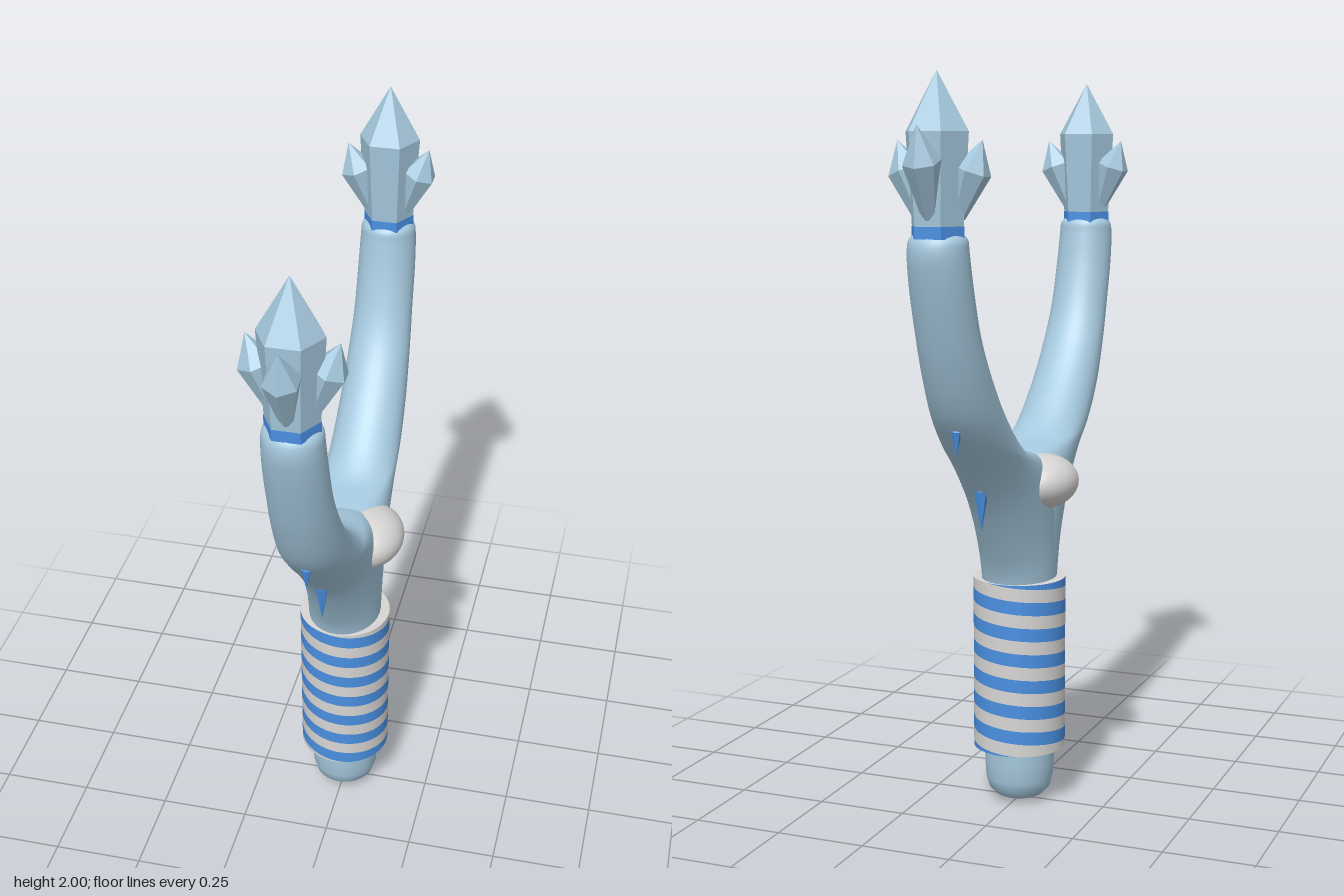
import * as THREE from 'three';

const mat = (name, color, extra = {}) => {
  const m = new THREE.MeshStandardMaterial({ color, ...extra });
  m.name = name;
  return m;
};

export function createModel() {
  const model = new THREE.Group();
  const ice = mat('ice blue', 0xa5c8dd);
  const crystalIce = mat('faceted ice blue', 0xa5c8dd, { flatShading: true });
  const blue = mat('ribbon blue', 0x4a90e2);
  const spikeBlue = mat('faceted blue', 0x4a90e2, { flatShading: true });
  const grey = mat('pale grey', 0xd8d6d4);

  const add = (parent, name, geo, material, x = 0, y = 0, z = 0) => {
    const mesh = new THREE.Mesh(geo, material);
    mesh.name = name;
    mesh.position.set(x, y, z);
    parent.add(mesh);
    return mesh;
  };
  const lathe = (pts, sides) =>
    new THREE.LatheGeometry(pts.map(p => new THREE.Vector2(...p)), sides);

  // Handle with a rounded butt
  add(model, 'handle', lathe([[0, 0], [0.035, 0.003], [0.065, 0.015], [0.085, 0.035],
    [0.094, 0.065], [0.097, 0.11], [0.098, 0.16], [0.1, 0.62]], 40), ice);

  // Grip sleeve: helical bands clipped to the two ends
  const R = 0.128, Y0 = 0.157, Y1 = 0.643, PITCH = 0.0735, SEG = 64;
  const bands = (firstY) => {
    const pos = [], nor = [], idx = [];
    for (let k = -2; k < 10; k++) for (let s = 0; s < SEG; s++) {
      const corner = (step, side) => {
        const a = (s + step) / SEG * Math.PI * 2;
        const y = firstY - PITCH * (k + a / (Math.PI * 2) + side / 4);
        return [a, THREE.MathUtils.clamp(y, Y0, Y1)];
      };
      const quad = [corner(0, 1), corner(1, 1), corner(1, -1), corner(0, -1)];
      if (quad[0][1] === quad[3][1] && quad[1][1] === quad[2][1]) continue;
      const n = pos.length / 3;
      for (const [a, y] of quad) {
        pos.push(R * Math.sin(a), y, R * Math.cos(a));
        nor.push(Math.sin(a), 0, Math.cos(a));
      }
      idx.push(n, n + 1, n + 2, n, n + 2, n + 3);
    }
    const g = new THREE.BufferGeometry();
    g.setAttribute('position', new THREE.Float32BufferAttribute(pos, 3));
    g.setAttribute('normal', new THREE.Float32BufferAttribute(nor, 3));
    g.setIndex(idx);
    return g;
  };
  const sleeve = new THREE.Group();
  sleeve.name = 'gripSleeve';
  model.add(sleeve);
  add(sleeve, 'blueWrap', bands(0.62), blue);
  add(sleeve, 'greyWrap', bands(0.62 - PITCH / 2), grey);
  const ring = new THREE.RingGeometry(0.085, R, SEG);
  add(sleeve, 'sleeveTop', ring, grey, 0, Y1, 0).rotation.x = -Math.PI / 2;
  add(sleeve, 'sleeveBottom', ring, blue, 0, Y0, 0).rotation.x = Math.PI / 2;

  // Fork arm sections: half width, outer z, outer y, inner z, inner y
  const sections = [
    [0.1, 0.11, 0.58, -0.11, 0.58], [0.102, 0.127, 0.66, -0.12, 0.7],
    [0.103, 0.165, 0.74, -0.13, 0.82], [0.103, 0.243, 0.87, -0.1, 0.95],
    [0.1, 0.33, 0.98, 0, 0.995], [0.098, 0.4, 1.06, 0.11, 1.02],
    [0.093, 0.47, 1.15, 0.243, 1.13], [0.087, 0.53, 1.28, 0.335, 1.235],
    [0.082, 0.568, 1.39, 0.4, 1.34], [0.08, 0.6, 1.5, 0.445, 1.47],
    [0.077, 0.611, 1.56, 0.466, 1.57], [0.073, 0.605, 1.595, 0.472, 1.6],
    [0.05, 0.58, 1.615, 0.495, 1.615], [0.001, 0.541, 1.615, 0.539, 1.615],
  ];
  const outer = new THREE.CatmullRomCurve3(sections.map(s => new THREE.Vector3(s[0], s[2], s[1])));
  const inner = new THREE.CatmullRomCurve3(sections.map(s => new THREE.Vector3(s[0], s[4], s[3])));
  const armGeometry = () => {
    const rows = (sections.length - 1) * 4, cols = 32, pos = [], idx = [];
    for (let i = 0; i <= rows; i++) {
      const o = outer.getPoint(i / rows), n = inner.getPoint(i / rows);
      for (let j = 0; j < cols; j++) {
        const t = j / cols * Math.PI * 2, c = (1 + Math.cos(t)) / 2;
        pos.push(o.x * Math.sin(t), n.y + (o.y - n.y) * c, n.z + (o.z - n.z) * c);
        if (i === rows) continue;
        const a = i * cols + j, b = i * cols + (j + 1) % cols;
        idx.push(a, b, b + cols, a, b + cols, a + cols);
      }
    }
    const g = new THREE.BufferGeometry();
    g.setAttribute('position', new THREE.Float32BufferAttribute(pos, 3));
    g.setIndex(idx);
    g.computeVertexNormals();
    return g;
  };
  const armGeo = armGeometry();

  // Crystal shapes
  const mainCrystal = lathe([[0, 0], [0.068, 0], [0.083, 0.235], [0, 0.38]], 6);
  const sideCrystal = lathe([[0, 0], [0.02, 0], [0.05, 0.6], [0, 1]], 6);
  const spike = lathe([[0, -1], [1, 0], [0, 0.35]], 6);
  const up = new THREE.Vector3(0, 1, 0);

  for (const [name, turn] of [['front', 0], ['back', Math.PI]]) {
    const side = new THREE.Group();
    side.name = name + 'Fork';
    side.rotation.y = turn;
    model.add(side);
    add(side, 'arm', armGeo, ice);
    add(side, 'collar', new THREE.CylinderGeometry(0.07, 0.07, 0.03, 6), spikeBlue, 0, 1.615, 0.54)
      .rotation.y = Math.PI / 6 * 3;
    add(side, 'mainCrystal', mainCrystal, crystalIce, 0, 1.62, 0.54).rotation.y = Math.PI / 2;

    // Smaller crystals leaning away from the main one
    for (const [from, to] of [
      [[0, 1.65, 0.585], [0, 1.87, 0.658]],
      [[0.048, 1.65, 0.53], [0.112, 1.835, 0.525]],
      [[-0.048, 1.65, 0.53], [-0.112, 1.835, 0.525]],
    ]) {
      const a = new THREE.Vector3(...from), d = new THREE.Vector3(...to).sub(a);
      const c = add(side, 'sideCrystal', sideCrystal, crystalIce, ...from);
      c.scale.set(0.95, d.length(), 0.95);
      c.quaternion.setFromUnitVectors(up, d.normalize());
    }

    // Hanging spikes under the arm
    add(side, 'lowerSpike', spike, spikeBlue, 0, 0.93, 0.273).scale.set(0.019, 0.11, 0.019);
    add(side, 'upperSpike', spike, spikeBlue, 0, 1.11, 0.435).scale.set(0.014, 0.065, 0.014);
  }

  // Pale oval stones on both flanks
  for (const s of [1, -1]) {
    add(model, s > 0 ? 'leftStone' : 'rightStone', new THREE.SphereGeometry(1, 40, 24), grey,
      s * 0.065, 0.914, 0).scale.set(0.1, 0.075, 0.12);
  }
  return model;
}
